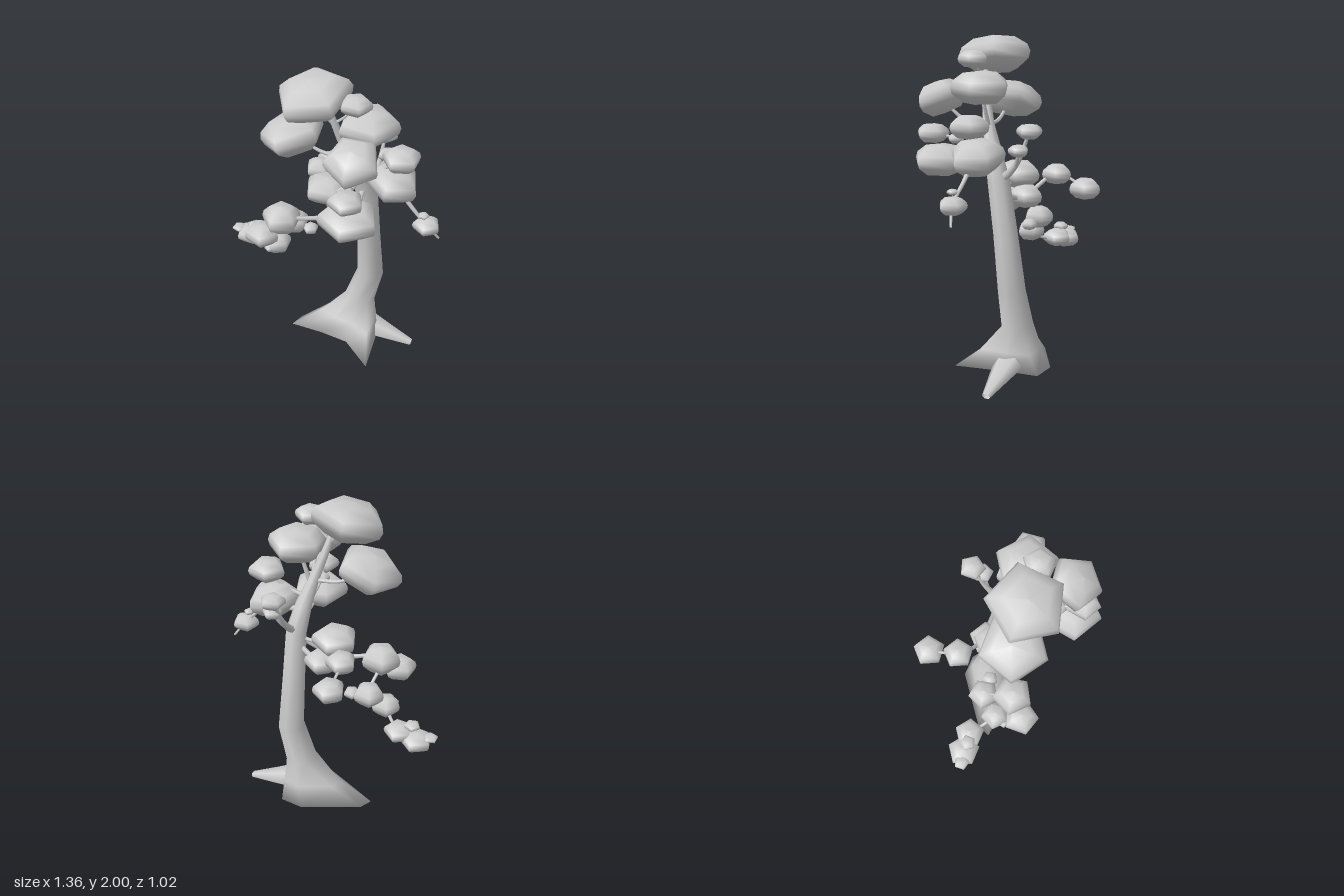
import * as THREE from 'three';

const material = new THREE.MeshStandardMaterial({ color: 0xcccccc, side: THREE.DoubleSide });
const v = (x, y, z) => new THREE.Vector3(x, y, z);

// Skin a list of closed rings, with a point closing each end.
function loft(rings, bottom, top) {
  const n = rings[0].length, index = [], last = 1 + rings.length * n;
  for (let j = 0; j < n; j++) {
    const k = (j + 1) % n;
    index.push(0, 1 + j, 1 + k);
    for (let i = 0; i < rings.length - 1; i++) {
      const a = 1 + i * n + j, b = 1 + i * n + k;
      index.push(a, a + n, b, b, a + n, b + n);
    }
    index.push(last, last - n + k, last - n + j);
  }
  const g = new THREE.BufferGeometry().setFromPoints([bottom, ...rings.flat(), top]);
  g.setIndex(index);
  g.computeVertexNormals();
  return g;
}

// Tube along a smooth path, tapering from r0 to r1.
function taperedTube(points, r0, r1, sides = 6) {
  const curve = new THREE.CatmullRomCurve3(points), steps = points.length * 4;
  const g = new THREE.TubeGeometry(curve, steps, 1, sides);
  const pos = g.attributes.position, p = v();
  for (let i = 0; i < pos.count; i++) {
    const t = Math.floor(i / (sides + 1)) / steps, c = curve.getPointAt(t);
    p.fromBufferAttribute(pos, i).sub(c).multiplyScalar(r0 + (r1 - r0) * t).add(c);
    pos.setXYZ(i, p.x, p.y, p.z);
  }
  return g;
}

export function createModel() {
  const model = new THREE.Group();
  const add = (name, geometry, parent = model) => {
    const mesh = new THREE.Mesh(geometry, material);
    mesh.name = name;
    parent.add(mesh);
    return mesh;
  };
  const addGroup = (name) => {
    const group = new THREE.Group();
    group.name = name;
    model.add(group);
    return group;
  };

  // Trunk: a flared foot with root lobes, then round rings up a bent spine
  const foot = [
    v(0.32, 0.08, -0.1), v(0.33, 0.05, 0.21), v(0.15, 0.07, 0.06), v(-0.04, 0.06, 0.02),
    v(-0.27, 0, -0.05), v(-0.23, 0.01, -0.13), v(0.11, 0.06, -0.32), v(0.25, 0.06, -0.3),
  ];
  const spine = [
    v(0.18, 0.33, -0.135), v(0.243, 0.56, -0.13), v(0.235, 0.9, -0.085), v(0.23, 1.2, -0.04),
    v(0.2, 1.36, 0.01), v(0.16, 1.5, 0.06), v(0.11, 1.64, 0.1), v(0.06, 1.8, 0.13),
  ];
  const girth = [0.098, 0.084, 0.073, 0.066, 0.052, 0.036, 0.026, 0.018];
  const rings = spine.map((c, i) => foot.map((_, j) => {
    const a = (j / foot.length) * Math.PI * 2;
    return v(Math.cos(a), 0, Math.sin(a)).multiplyScalar(girth[i]).add(c);
  }));
  // a ring halfway up the flare, lowered so the roots sweep out
  const flare = foot.map((p, j) => p.clone().lerp(rings[0][j], 0.55).add(v(0, -0.03, 0)));
  add('trunk', loft([foot, flare, ...rings], v(0.12, 0.06, -0.1), v(0.04, 1.86, 0.14)));

  // Broad, flattened side root
  const root = add('sideRoot', taperedTube([v(0.2, 0.13, 0), v(0.34, 0.085, 0), v(0.545, 0.025, 0)], 0.075, 0.018));
  root.position.z = -0.12;
  root.scale.z = 1.5;

  // Five-sided foliage cushion
  const profile = [[0, -1], [0.6, -0.92], [0.94, -0.4], [1, 0], [0.92, 0.4], [0.58, 0.88], [0, 1]];
  const padGeometry = new THREE.LatheGeometry(profile.map((p) => new THREE.Vector2(...p)), 5);
  const branches = addGroup('branches'), foliage = addGroup('foliage');

  // Limb: one sagging branch through a chain of pads [x, y, z, radius, tiltX, tiltZ];
  // an entry without a radius is a bare point. Heights are radius * plump.
  function limb(start, thickness, plump, turn, ...chain) {
    const stops = chain.map(([x, y, z]) => v(x, y, z));
    const sag = start.clone().lerp(stops[0], 0.5);
    sag.y -= 0.13 * Math.hypot(stops[0].x - start.x, stops[0].z - start.z);
    add('branch', taperedTube([start, sag, ...stops], thickness, Math.min(0.007, thickness / 2)), branches);
    chain.forEach(([, , , r, tiltX = 0, tiltZ = 0], i) => {
      if (!r) return;
      const pad = add('foliagePad', padGeometry, foliage);
      pad.position.copy(stops[i]);
      pad.scale.set(r, r * plump, r);
      pad.rotation.set(tiltX, turn, tiltZ, 'ZXY');
    });
  }
  const spineCurve = new THREE.CatmullRomCurve3(spine);
  const trunkAt = (ring) => spineCurve.getPoint(ring / (spine.length - 1));

  // Crown
  limb(trunkAt(6.5), 0.014, 0.48, -1.75, [-0.035, 1.88, 0.12, 0.215, 0.15, 0.17]);
  limb(trunkAt(6.6), 0.009, 0.54, 3, [0.2, 1.87, 0.13, 0.09]);
  limb(trunkAt(5), 0.015, 0.52, -1.4, [-0.17, 1.615, 0.09, 0.193, 0, 0.32]);
  limb(trunkAt(4.8), 0.016, 0.52, 1.7, [0.25, 1.72, 0.055, 0.175]);
  limb(trunkAt(4.8), 0.016, 0.6, 0, [0.245, 1.65, 0.325, 0.155, 0.4]);
  limb(trunkAt(4.3), 0.014, 0.56, 0.9, [0.435, 1.53, 0.03, 0.112]);
  limb(trunkAt(4), 0.014, 0.54, 0, [0.19, 1.41, 0.26, 0.05], [0.235, 1.44, 0.39, 0.1]);
  limb(trunkAt(3.5), 0.018, 0.5, 0, [0.235, 1.29, 0.335, 0.175]);

  // Side limb with a bare tip, and the back limb with its fork
  limb(trunkAt(3.8), 0.02, 0.58, 1.2, [0.39, 1.36, 0.01, 0.16, 0, -0.2],
    [0.5, 1.24, 0.03], [0.605, 1.13, 0.04, 0.082], [0.675, 1.035, 0.01]);
  limb(v(0.6, 1.12, 0.04), 0.006, 0.5, 0.5, [0.585, 1.2, 0.05, 0.032]);
  limb(trunkAt(3), 0.026, 0.54, 2.7, [0.255, 1.34, -0.18], [0.27, 1.5, -0.25, 0.075]);
  limb(v(0.255, 1.3, -0.16), 0.014, 0.55, 0.4, [0.3, 1.395, -0.2, 0.06]);

  // Drooping limb, its side twigs and the two limbs above it
  limb(trunkAt(2.9), 0.018, 0.7, 1, [-0.25, 1.025, 0.11, 0.12], [-0.24, 0.88, -0.07, 0.093], [-0.32, 0.76, 0.02, 0.088]);
  limb(v(-0.32, 0.75, 0.02), 0.012, 0.56, 3, [-0.45, 0.695, -0.11, 0.093], [-0.56, 0.668, -0.12, 0.1]);
  limb(v(-0.55, 0.67, -0.12), 0.008, 0.38, 1.5, [-0.64, 0.7, -0.11, 0.048]);
  limb(v(-0.46, 0.7, -0.1), 0.008, 0.48, 0.8, [-0.525, 0.75, -0.1, 0.05]);
  limb(v(-0.32, 0.76, 0.02), 0.008, 0.7, 0, [-0.35, 0.75, 0.08, 0.034]);
  limb(v(-0.24, 0.87, -0.07), 0.008, 0.64, 1, [-0.13, 0.855, -0.06, 0.05]);
  limb(v(-0.22, 1.0, 0.1), 0.012, 0.63, 0.2, [-0.345, 0.94, 0.185, 0.106]);
  limb(trunkAt(2.9), 0.014, 0.54, Math.PI, [-0.015, 1.195, -0.04, 0.14]);
  limb(trunkAt(2.8), 0.018, 0.64, Math.PI, [0.04, 1.08, -0.12, 0.102], [-0.13, 1.19, -0.24, 0.09], [-0.13, 1.12, -0.42, 0.094]);

  return model;
}
